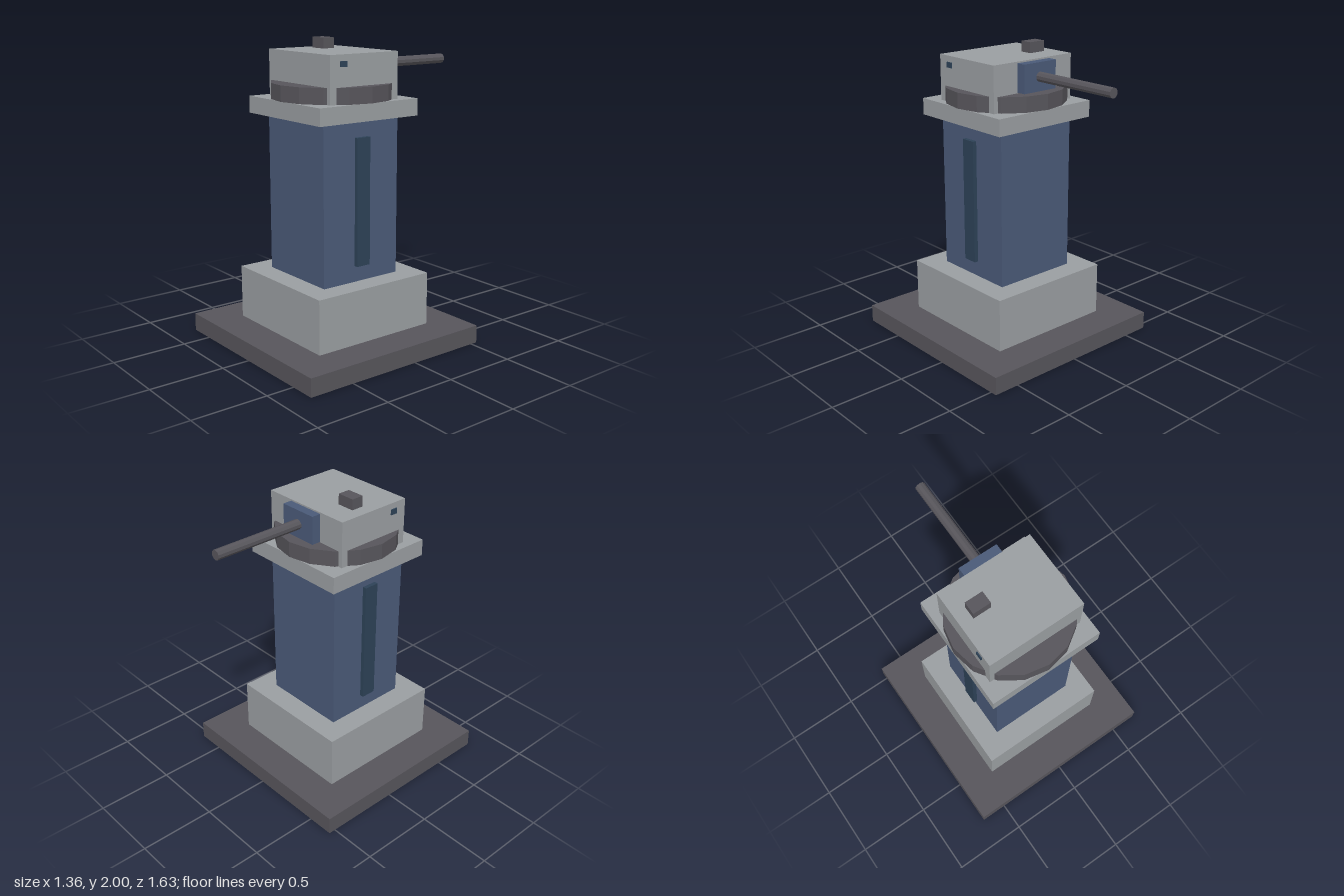
import * as THREE from 'three';

const mat = (color) => new THREE.MeshStandardMaterial({ color, flatShading: true });

export function createModel() {
  const model = new THREE.Group();
  const grey = mat(0x9a9ea1), dark = mat(0x57555b), blue = mat(0x4a5a78), navy = mat(0x2d4257);
  const CZ = 0.133; // tower axis

  const add = (name, geometry, material, x, y, z) => {
    const mesh = new THREE.Mesh(geometry, material);
    mesh.name = name;
    mesh.position.set(x, y, z);
    model.add(mesh);
    return mesh;
  };
  // Box given by its minimum and maximum on each axis
  const box = (name, material, [x0, x1], [y0, y1], [z0, z1]) =>
    add(name, new THREE.BoxGeometry(x1 - x0, y1 - y0, z1 - z0), material,
      (x0 + x1) / 2, (y0 + y1) / 2, (z0 + z1) / 2);
  // Square block centred on the tower axis
  const block = (name, material, half, y0, y1) =>
    box(name, material, [-half, half], [y0, y1], [CZ - half, CZ + half]);

  // Stacked tower
  block('basePlate', dark, 0.68, 0, 0.12);
  block('plinth', grey, 0.443, 0.12, 0.475);
  block('column', blue, 0.295, 0.475, 1.52);
  block('collar', grey, 0.385, 1.52, 1.63);

  // Turning ring with sixteen sides
  add('turretRing', new THREE.CylinderGeometry(0.4, 0.4, 0.102, 16), dark, 0, 1.681, CZ);

  // Turret head with its rooftop hatch
  box('turretHead', grey, [-0.326, 0.326], [1.63, 1.93], [-0.132, 0.398]);
  box('roofHatch', dark, [-0.24, -0.12], [1.93, 2], [0.031, 0.115]);

  // Strips on the column and sensors on the head, mirrored
  for (const s of [-1, 1]) {
    const side = s > 0 ? 'left' : 'right';
    const span = (a, b) => (s > 0 ? [a, b] : [-b, -a]);
    box(side + 'Strip', navy, span(0.285, 0.322), [0.58, 1.41], [0.083, 0.185]);
    box(side + 'Sensor', navy, span(0.316, 0.334), [1.855, 1.89], [0.275, 0.322]);
  }

  // Barrel and its mount, pointing backwards
  box('barrelMount', blue, [-0.133, 0.133], [1.736, 1.92], [-0.194, -0.122]);
  const barrel = add('barrel', new THREE.CylinderGeometry(0.033, 0.033, 0.635, 10), dark, 0, 1.828, -0.4975);
  barrel.rotation.x = Math.PI / 2;

  return model;
}
